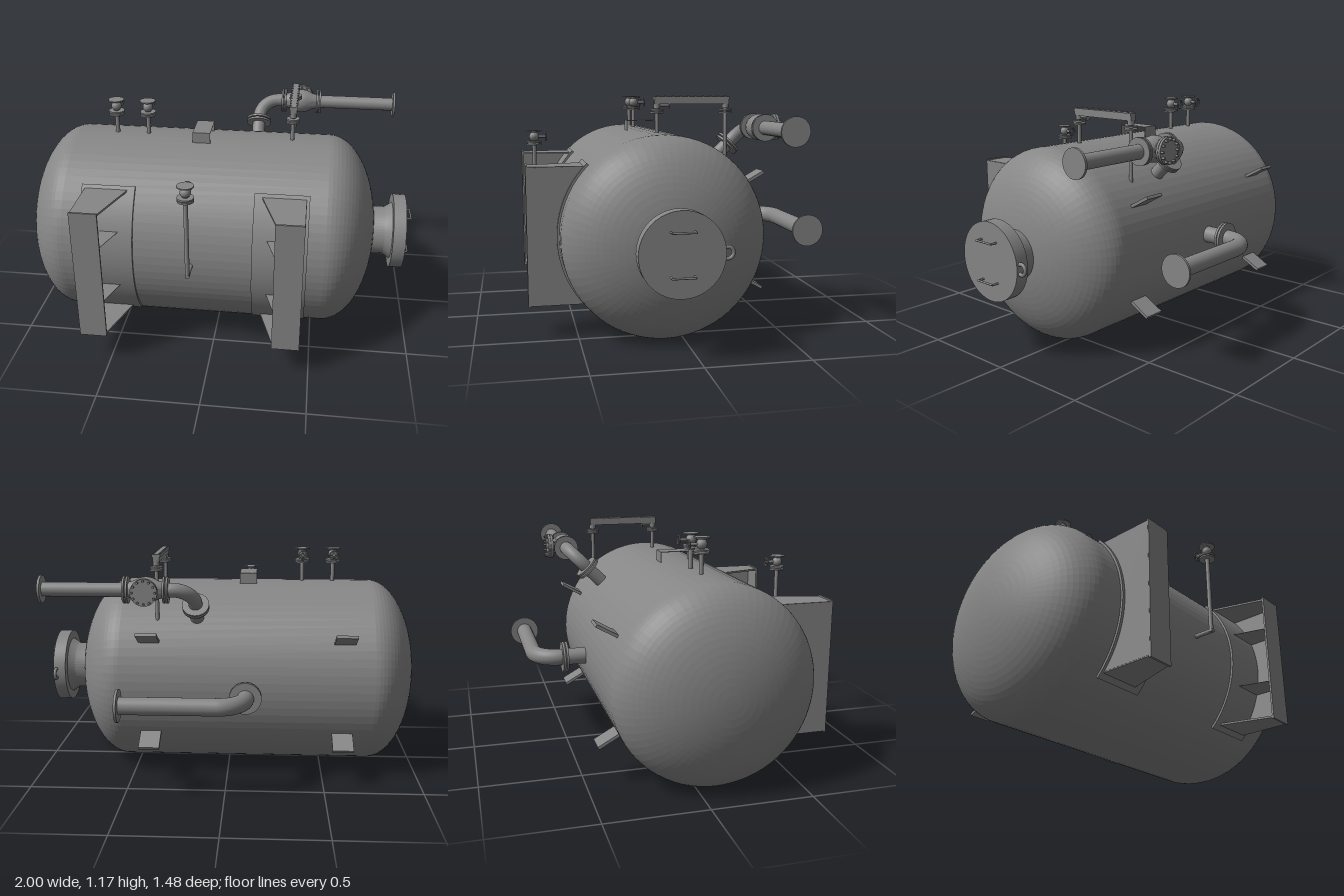
import * as THREE from 'three';
import { toCreasedNormals } from 'three/addons/utils/BufferGeometryUtils.js';

const CY = 0.495, CZ = 0.09, R = 0.495; // tank axis and radius
const V = (x, y, z) => new THREE.Vector3(x, y, z);
const UP = V(0, 1, 0);

export function createModel() {
  const model = new THREE.Group();
  model.name = 'pressureVessel';
  const mat = new THREE.MeshStandardMaterial({ color: 0x868686, side: THREE.DoubleSide });

  const add = (name, geo, parent = model) => {
    const mesh = new THREE.Mesh(geo, mat);
    mesh.name = name;
    parent.add(mesh);
    return mesh;
  };
  const group = (name) => {
    const g = new THREE.Group();
    g.name = name;
    model.add(g);
    return g;
  };
  const box = (name, w, h, d, x, y, z, parent) => {
    const m = add(name, new THREE.BoxGeometry(w, h, d), parent);
    m.position.set(x, y, z);
    return m;
  };
  // cylinder between two points
  const rod = (name, a, b, r, parent, seg = 24) => {
    const dir = b.clone().sub(a);
    const m = add(name, new THREE.CylinderGeometry(r, r, dir.length(), seg), parent);
    m.position.copy(a).add(b).multiplyScalar(0.5);
    m.quaternion.setFromUnitVectors(UP, dir.normalize());
    return m;
  };
  // disc centred at p, facing along n
  const disc = (name, p, n, r, t, parent, seg = 32) =>
    rod(name, p.clone().addScaledVector(n, -t / 2), p.clone().addScaledVector(n, t / 2), r, parent, seg);
  const flangePair = (p, n, r, t, gap, parent) => {
    for (const s of [-1, 1]) disc('flange', p.clone().addScaledVector(n, s * gap / 2), n, r, t, parent);
  };
  // ring of bolts around an axis along n
  const bolts = (p, n, ring, r, len, count, parent) => {
    const u = V(n.y, n.z, n.x), v = n.clone().cross(u);
    for (let i = 0; i < count; i++) {
      const a = i / count * Math.PI * 2;
      const c = p.clone().addScaledVector(u, Math.cos(a) * ring).addScaledVector(v, Math.sin(a) * ring);
      disc('bolt', c, n, r, len, parent, 6);
    }
  };
  // lathe turned so that its axis runs along x; edges sharper than the crease angle stay hard
  const latheX = (name, pts, x, y, z, seg, parent, crease = 0.6) => {
    const geo = new THREE.LatheGeometry(pts.map(([r, h]) => new THREE.Vector2(r, h)), seg);
    const m = add(name, toCreasedNormals(geo, crease), parent);
    m.rotation.z = -Math.PI / 2;
    m.position.set(x, y, z);
    return m;
  };

  // finely faceted shell with elliptical ends
  const shell = [];
  const steps = 20;
  for (let i = 0; i <= steps; i++) {
    const a = i / steps * Math.PI / 2;
    shell.push([R * Math.sin(a), -0.75 - 0.25 * Math.cos(a)]);
  }
  for (let i = 0; i <= steps; i++) {
    const a = i / steps * Math.PI / 2;
    shell.push([R * Math.cos(a), 0.55 + 0.26 * Math.sin(a)]);
  }
  latheX('tankShell', shell, 0, CY, CZ, 72, model, 0.01);

  // manway with cover, handles and hinge lug
  const manway = group('manway');
  latheX('manwayNeck', [[0.125, 0.74], [0.125, 0.86], [0.15, 0.897], [0.195, 0.897],
    [0.195, 0.962], [0, 0.962]], 0, CY, CZ, 48, manway);
  for (const y of [0.4, 0.597]) {
    const pts = [V(0.95, y, 0.037), V(0.994, y, 0.037), V(0.994, y, 0.143), V(0.95, y, 0.143)];
    for (let i = 0; i < 3; i++) rod('coverHandle', pts[i], pts[i + 1], 0.005, manway, 10);
  }
  const lug = add('hingeLug', new THREE.TorusGeometry(0.026, 0.009, 10, 24), manway);
  lug.rotation.y = Math.PI / 2;
  lug.position.set(0.945, CY, CZ - 0.205);

  // thick curved pad wrapped on the front of the shell
  const padShape = new THREE.Shape();
  padShape.absarc(0, 0, R + 0.011, -Math.PI / 4, Math.PI / 4, false);
  padShape.absarc(0, 0, R - 0.01, Math.PI / 4, -Math.PI / 4, true);
  const padGeo = new THREE.ExtrudeGeometry(padShape, { depth: 0.267, bevelEnabled: false, curveSegments: 24 });
  padGeo.rotateY(-Math.PI / 2).translate(0.1335, 0, 0);

  // mounting brackets on the front: s points to the outer side
  for (const s of [-1, 1]) {
    const g = group(s < 0 ? 'rightBracket' : 'leftBracket');
    const X = (d) => -0.095 + s * d; // d measured out from the middle of the pair
    add('curvedPad', toCreasedNormals(padGeo, 0.6), g).position.set(X(0.427), CY, CZ);
    box('frontPlate', 0.135, 0.69, 0.01, X(0.478), 0.5, 0.733, g);
    box('sideWeb', 0.012, 0.67, 0.29, X(0.54), 0.5, 0.588, g);
    const rib = new THREE.Shape([[0.545, 0.73], [0.415, 0.73], [0.325, 0.44], [0.545, 0.44]]
      .map(([d, z]) => new THREE.Vector2(X(d), z)));
    // thick end ribs, thin inner ribs
    for (const [y, t] of [[0.17, 0.01], [0.36, 0.002], [0.66, 0.002], [0.838, 0.01]]) {
      const m = add('rib', new THREE.ExtrudeGeometry(rib, { depth: t, bevelEnabled: false }), g);
      m.rotation.x = Math.PI / 2;
      m.position.y = y;
    }
  }

  // lifting lugs on the back, set radially
  for (const x of [-0.595, 0.395]) for (const s of [-1, 1]) {
    const a = 0.51;
    const m = box('rearLug', 0.107, 0.015, 0.13, x, CY + s * 0.545 * Math.sin(a), CZ - 0.545 * Math.cos(a));
    m.rotation.x = s * a;
  }

  // bent name plate holder on top
  const holder = group('plateHolder');
  box('holderTop', 0.09, 0.003, 0.172, -0.1, 1.036, 0.087, holder);
  for (const z of [0.002, 0.172]) box('holderLeg', 0.09, 0.06, 0.003, -0.1, 1.007, z, holder);

  // small valve: (x, y, z) is the centre of its lower flange pair
  const smallValve = (name, x, y, z) => {
    const g = group(name);
    flangePair(V(x, y, z), UP, 0.04, 0.008, 0.013, g);
    rod('valveNeck', V(x, y, z), V(x, y + 0.065, z), 0.014, g);
    const ball = add('valveBody', new THREE.SphereGeometry(0.026, 20, 14), g);
    ball.position.set(x, y + 0.035, z);
    disc('topFlange', V(x, y + 0.066, z), UP, 0.04, 0.006, g);
    rod('stem', V(x, y + 0.035, z), V(x, y + 0.035, z - 0.064), 0.008, g, 12);
    const wheel = add('handWheel', new THREE.TorusGeometry(0.022, 0.004, 8, 24), g);
    wheel.position.set(x, y + 0.035, z - 0.064);
    for (const a of [0, Math.PI / 2]) {
      box('wheelSpoke', 0.044, 0.005, 0.005, x, y + 0.035, z - 0.064, g).rotation.z = a;
    }
  };
  for (const x of [-0.555, -0.39]) {
    rod('valvePipe', V(x, 0.96, 0.085), V(x, 1.1, 0.085), 0.011);
    smallValve('topValve', x, 1.098, 0.085);
  }
  // front valve on a tall standpipe
  rod('standpipe', V(-0.1, 0.495, 0.676), V(-0.1, 0.92, 0.676), 0.011);
  rod('standpipeInlet', V(-0.1, 0.503, 0.55), V(-0.1, 0.503, 0.687), 0.011);
  smallValve('frontValve', -0.1, 0.918, 0.676);

  // level gauge bridging two risers
  const gauge = group('levelGauge');
  const gx = 0.358;
  for (const [z, y0] of [[0.088, 0.96], [-0.263, 0.8]]) {
    rod('riser', V(gx, y0, z), V(gx, 1.14, z), 0.01, gauge);
    flangePair(V(gx, 1.096, z), UP, 0.033, 0.008, 0.013, gauge);
    disc('gaugeCock', V(gx, 1.125, z), UP, 0.017, 0.03, gauge);
  }
  rod('cockStem', V(gx, 1.125, 0.088), V(gx, 1.125, 0.03), 0.006, gauge, 10);
  disc('cockHandle', V(gx, 1.125, 0.027), V(0, 0, 1), 0.016, 0.005, gauge);
  for (const z of [0.007, -0.183]) {
    box('gaugeBody', 0.034, 0.024, 0.19, gx, 1.143, z, gauge);
    box('gaugeCover', 0.042, 0.014, 0.19, gx, 1.161, z, gauge);
    for (let i = 0; i < 5; i++) for (const s of [-1, 1]) {
      disc('gaugeBolt', V(gx + s * 0.016, 1.169, z - 0.076 + i * 0.038), UP, 0.004, 0.008, gauge, 6);
    }
  }

  // outlet pipe: leaves the tank along d, turns at c towards +x
  const outlet = (name, c, d, from, bend, r, endX, endR) => {
    const g = group(name);
    const a = c.clone().addScaledVector(d, -bend), b = c.clone().add(V(bend, 0, 0));
    rod('nozzle', c.clone().addScaledVector(d, -from), a, r, g, 32);
    const k = 0.5523;
    const curve = new THREE.CubicBezierCurve3(a, a.clone().lerp(c, k), b.clone().lerp(c, k), b);
    add('elbow', new THREE.TubeGeometry(curve, 14, r, 32, false), g);
    rod('pipeRun', b, V(endX, c.y, c.z), r, g, 32);
    disc('endFlange', V(endX, c.y, c.z), V(1, 0, 0), endR, 0.012, g, 40);
    return g;
  };

  // lower outlet
  const back = V(0, 0, -1);
  const low = outlet('lowerOutlet', V(-0.1, 0.497, -0.66), back, 0.3, 0.13, 0.043, 0.503, 0.08);
  flangePair(V(-0.1, 0.497, -0.512), back, 0.08, 0.012, 0.016, low);

  // upper outlet with a check valve in the run
  const slope = V(0, 1, -1).normalize();
  const c = V(0.155, 1.015, -0.43);
  const high = outlet('upperOutlet', c, slope, 0.3, 0.11, 0.035, 0.902, 0.068);
  flangePair(c.clone().addScaledVector(slope, -0.135), slope, 0.068, 0.011, 0.017, high);
  for (const x of [0.29, 0.485]) flangePair(V(x, c.y, c.z), V(1, 0, 0), 0.066, 0.01, 0.016, high);
  latheX('checkValveBody', [[0.037, -0.09], [0.045, -0.06], [0.06, -0.03], [0.065, 0], [0.06, 0.03],
    [0.045, 0.06], [0.037, 0.09]], 0.387, c.y, c.z, 32, high);
  rod('bonnetNeck', V(0.387, c.y, c.z), V(0.387, c.y, -0.5), 0.048, high, 32);
  flangePair(V(0.387, c.y, -0.508), back, 0.066, 0.012, 0.014, high);
  bolts(V(0.387, c.y, -0.511), back, 0.056, 0.006, 0.05, 12, high);

  return model;
}
